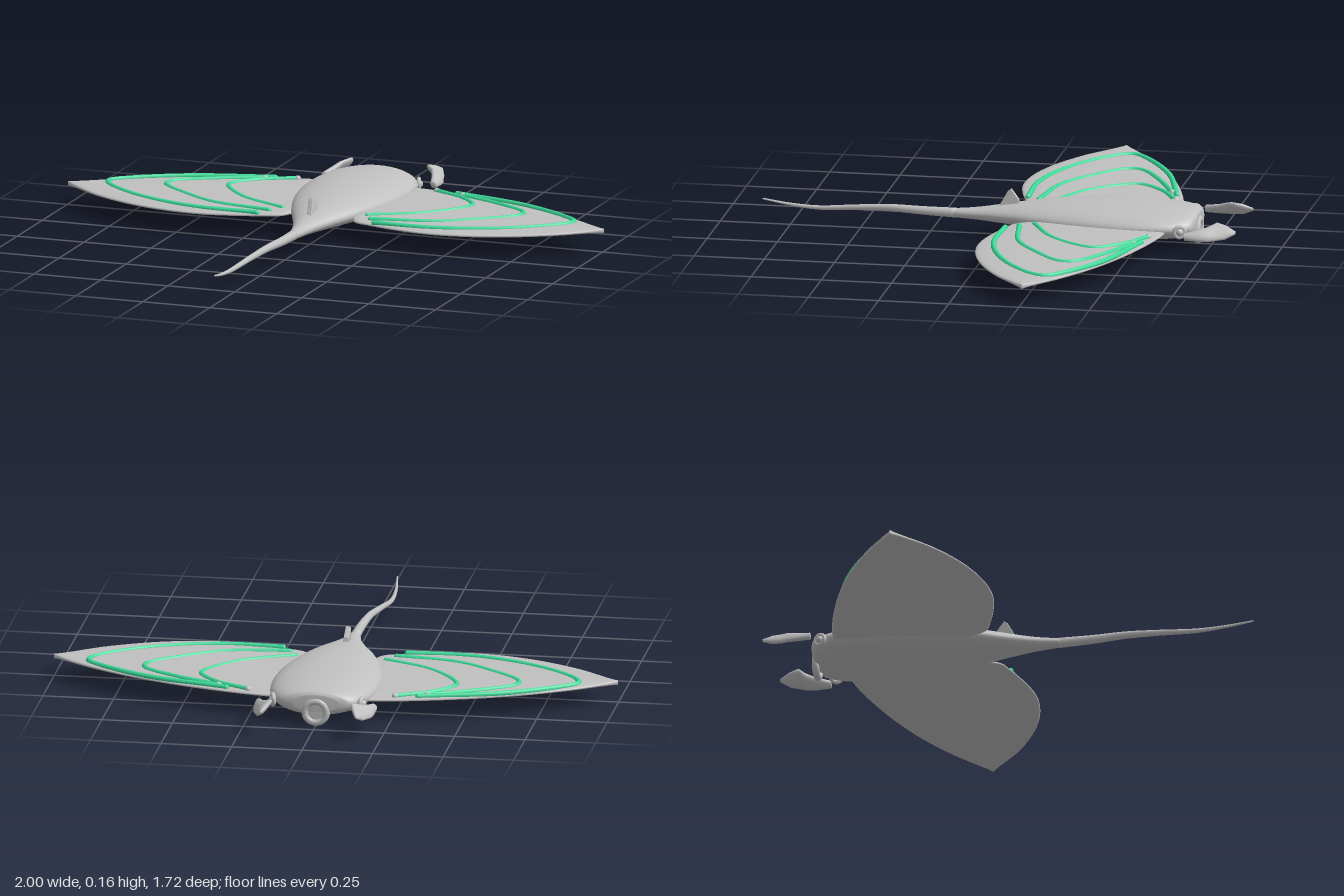
import * as THREE from 'three';

const skin = new THREE.MeshStandardMaterial({ color: 0xc0c0c0 });
skin.name = 'grey skin';
const glow = new THREE.MeshStandardMaterial({ color: 0x3ddc9a });
glow.name = 'green stripe';

// Closed solid through rings of points; faces are turned outward by signed volume
function loft(rings) {
  const n = rings[0].length, pts = rings.flat(), idx = [];
  const mid = (r) => r.reduce((s, p) => s.add(p), new THREE.Vector3()).divideScalar(n);
  for (let i = 0; i < rings.length - 1; i++) {
    for (let j = 0; j < n; j++) {
      const a = i * n + j, b = i * n + (j + 1) % n;
      idx.push(a, b, a + n, b, b + n, a + n);
    }
  }
  const last = (rings.length - 1) * n, c = pts.length;
  pts.push(mid(rings[0]), mid(rings[rings.length - 1]));
  for (let j = 0; j < n; j++) {
    const k = (j + 1) % n;
    idx.push(c, k, j, c + 1, last + j, last + k);
  }
  let volume = 0;
  const v = new THREE.Vector3();
  for (let i = 0; i < idx.length; i += 3) {
    volume += pts[idx[i]].dot(v.crossVectors(pts[idx[i + 1]], pts[idx[i + 2]]));
  }
  if (volume < 0) idx.reverse();
  const g = new THREE.BufferGeometry().setFromPoints(pts);
  g.setIndex(idx);
  g.computeVertexNormals();
  return g;
}

// Smoothly resample rows of three numbers
function resample(rows, count) {
  const curve = new THREE.CatmullRomCurve3(rows.map((r) => new THREE.Vector3(...r)), false, 'centripetal');
  return curve.getPoints(count);
}

function ring(n, fn) {
  return Array.from({ length: n }, (_, i) => fn(Math.cos(i / n * Math.PI * 2), Math.sin(i / n * Math.PI * 2)));
}

// Tube whose radius shrinks along its length
function taperedTube(points, r0, r1, segments = 40) {
  const rings = resample(points, segments).map((p, i) => {
    const r = r0 + (r1 - r0) * i / segments;
    return ring(12, (c, s) => new THREE.Vector3(p.x + c * r, p.y + s * r, p.z));
  });
  return loft(rings);
}

export function createModel() {
  const model = new THREE.Group();
  const add = (name, geometry, material = skin) => {
    const m = new THREE.Mesh(geometry, material);
    m.name = name;
    model.add(m);
    return m;
  };

  // Body: z, half width, half height
  const body = resample([
    [-0.708, 0.08, 0.03], [-0.695, 0.125, 0.043], [-0.65, 0.159, 0.051], [-0.58, 0.181, 0.057],
    [-0.48, 0.19, 0.06], [-0.36, 0.181, 0.06], [-0.24, 0.155, 0.053], [-0.12, 0.115, 0.043],
    [-0.02, 0.072, 0.033], [0.08, 0.036, 0.022], [0.18, 0.015, 0.015],
  ], 50).map((p) => {
    const y = 0.087 - 0.012 * THREE.MathUtils.smoothstep(p.x, -0.2, 0.18);
    return ring(40, (c, s) => new THREE.Vector3(c * p.y, y + s * p.z, p.x));
  });
  add('body', loft(body));

  // Tail
  add('tail', taperedTube([[0, 0.075, 0.16], [-0.003, 0.077, 0.28], [-0.013, 0.079, 0.4], [-0.03, 0.07, 0.52],
    [-0.048, 0.058, 0.66], [-0.047, 0.066, 0.76], [-0.036, 0.084, 0.855]], 0.018, 0.003));

  // Small back fin
  const fin = new THREE.Shape([[-0.015, 0.09], [0.07, 0.09], [0.06, 0.135], [0.035, 0.167], [0.025, 0.16]]
    .map((p) => new THREE.Vector2(...p)));
  const finGeo = new THREE.ExtrudeGeometry(fin, {
    depth: 0.012, bevelEnabled: true, bevelSize: 0.002, bevelThickness: 0.003, bevelSegments: 2,
  });
  finGeo.translate(0, -0.1, -0.006).rotateY(Math.PI / 2).rotateZ(0.1).translate(0, 0.1, 0);
  add('backFin', finGeo);

  // Mouth ring with a filled centre
  add('mouthRing', new THREE.TorusGeometry(0.038, 0.013, 16, 40)).position.set(0, 0.056, -0.702);
  const mouth = new THREE.CylinderGeometry(0.036, 0.036, 0.012, 32).rotateX(Math.PI / 2);
  add('mouth', mouth).position.set(0, 0.056, -0.702);

  // Wing sections: x, leading edge z, trailing edge z
  const wingRows = [[0.1, -0.605, -0.16], [0.14, -0.615, -0.075], [0.2, -0.612, -0.05], [0.3, -0.594, -0.02],
    [0.42, -0.563, 0], [0.55, -0.521, -0.01], [0.7, -0.458, -0.055], [0.85, -0.374, -0.135],
    [0.95, -0.302, -0.215], [1, -0.262, -0.258]];
  // Stripe paths on the wing: x, z
  const stripes = [
    [[0.34, -0.562], [0.62, -0.482], [0.81, -0.375], [0.868, -0.318], [0.852, -0.27], [0.73, -0.165], [0.57, -0.088], [0.41, -0.052], [0.22, -0.055]],
    [[0.37, -0.54], [0.54, -0.46], [0.655, -0.38], [0.66, -0.33], [0.54, -0.22], [0.41, -0.14], [0.19, -0.1]],
    [[0.26, -0.573], [0.38, -0.505], [0.452, -0.415], [0.435, -0.36], [0.33, -0.24], [0.16, -0.15]],
  ];
  // Head fin sections: z, outer x, outer y, inner x, inner y
  const hornRows = [[-0.69, 0.212, 0.068, 0.195, 0.09], [-0.74, 0.212, 0.065, 0.18, 0.1],
    [-0.775, 0.208, 0.065, 0.165, 0.112], [-0.795, 0.2, 0.067, 0.14, 0.12],
    [-0.83, 0.19, 0.072, 0.15, 0.112], [-0.865, 0.172, 0.088, 0.165, 0.097]];

  for (const [side, k] of [['left', 1], ['right', -1]]) {
    const wing = resample(wingRows, 40).map((p) => {
      const mid = (p.y + p.z) / 2, half = (p.z - p.y) / 2;
      const h = 0.0125 - 0.004 * p.x ** 4;
      return ring(40, (c, s) => new THREE.Vector3(
        k * p.x, 0.079 + h * Math.sign(s) * Math.abs(s) ** 0.7, mid + c * half));
    });
    add(side + 'Wing', loft(wing));

    stripes.forEach((path, i) => {
      const pts = path.map(([x, z]) => new THREE.Vector3(k * x, 0.087, z));
      const curve = new THREE.CatmullRomCurve3(pts);
      add(`${side}WingStripe${i + 1}`, new THREE.TubeGeometry(curve, 70, 0.01, 8), glow);
      // Rounded stripe ends; the front ends of the inner stripes are skin bumps
      [pts[0], pts[pts.length - 1]].forEach((end, j) => {
        const bump = j === 0 && i > 0;
        add(side + (bump ? 'WingBump' : 'StripeEnd'), new THREE.SphereGeometry(bump ? 0.012 : 0.01, 12, 8),
          bump ? skin : glow).position.copy(end);
      });
    });

    // Curved, tilted blade beside the mouth
    const horn = hornRows.map(([z, ox, oy, ix, iy]) => {
      const a = new THREE.Vector2(ox - ix, oy - iy).multiplyScalar(0.5);
      const n = new THREE.Vector2(-a.y, a.x).normalize().multiplyScalar(z < -0.85 ? 0.005 : 0.012);
      return ring(16, (c, s) => new THREE.Vector3(
        k * ((ox + ix) / 2 + a.x * c + n.x * s), (oy + iy) / 2 + a.y * c + n.y * s, z));
    });
    add(side + 'HeadFin', loft(horn));

    // Eye with a raised rim
    const eye = new THREE.Group();
    eye.name = side + 'Eye';
    const rim = new THREE.Mesh(new THREE.TorusGeometry(0.018, 0.008, 10, 24), skin);
    rim.name = 'eyeRim';
    const ball = new THREE.Mesh(new THREE.SphereGeometry(0.015, 16, 12), skin);
    ball.name = 'eyeBall';
    eye.add(rim, ball);
    eye.position.set(k * 0.158, 0.083, -0.664);
    eye.rotation.y = k * (Math.PI / 2 + 0.35);
    model.add(eye);
  }
  return model;
}
